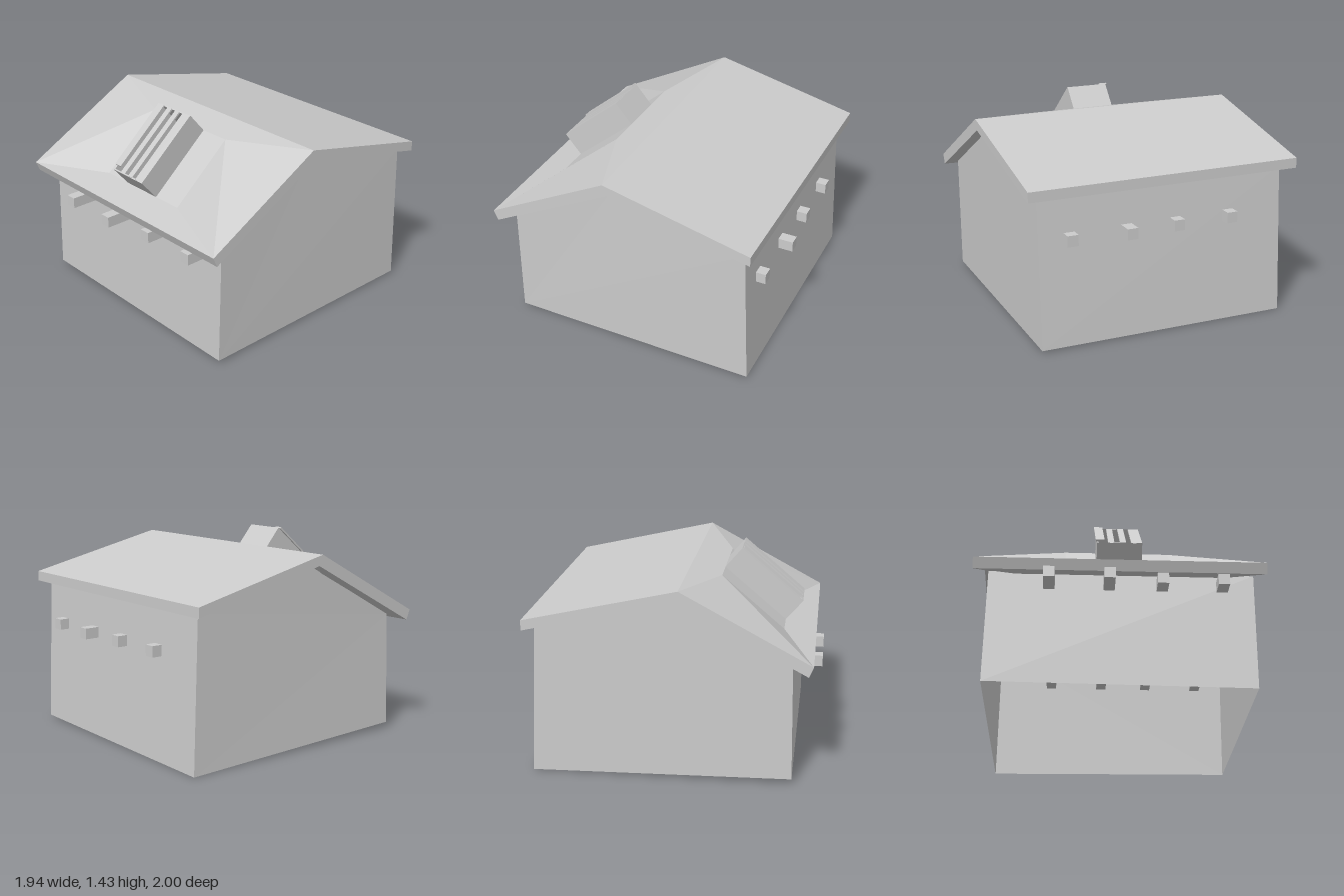
import * as THREE from 'three';

const mat = new THREE.MeshStandardMaterial({ color: 0xcccccc, flatShading: true, side: THREE.DoubleSide });

// Mesh from convex polygons, each fanned from its first corner
function faces(name, polys) {
  const pos = [];
  for (const p of polys)
    for (let i = 1; i < p.length - 1; i++) pos.push(...p[0], ...p[i], ...p[i + 1]);
  const geo = new THREE.BufferGeometry();
  geo.setAttribute('position', new THREE.Float32BufferAttribute(pos, 3));
  geo.computeVertexNormals();
  const mesh = new THREE.Mesh(geo, mat);
  mesh.name = name;
  return mesh;
}

function box(name, w, h, d, x, y, z) {
  const mesh = new THREE.Mesh(new THREE.BoxGeometry(w, h, d), mat);
  mesh.name = name;
  mesh.position.set(x, y, z);
  return mesh;
}

// Slightly crooked wall shell, open underneath, with gables under the roof
function walls() {
  const side = (x, bottomX, yFront, yBack) => [
    [bottomX, yFront, 0.83], [bottomX, yBack, -0.93],
    [x, 1.04, -0.885], [x, 1.255, 0.05], [x, 0.84, 0.815],
  ];
  const l = side(0.895, 0.887, 0.02, 0.015);
  const r = side(-0.875, -0.887, 0.04, 0);
  return faces('walls', [
    l, [...r].reverse(),
    [r[0], l[0], l[4], r[4]],
    [l[1], r[1], r[2], l[2]],
  ]);
}

// Roof slab: the front slope carries a steeper sunken panel with the dormer opening
const W = 0.97, P = 0.37, H0 = -0.155, H1 = 0.15;
function roof() {
  // profile points [y, z]: front eave, panel foot, panel head, ridge, back eave
  const top = [[0.87, 0.95], [0.92, 0.73], [1.285, 0.30], [1.335, 0.08], [1.10, -0.95]];
  const under = [[0.80, 0.92], [0.85, 0.69], [1.215, 0.26], [1.262, 0.05], [1.03, -0.95]];
  const skin = ([E, L, U, R, B]) => {
    const v = (x, p) => [x, ...p];
    return [
      [v(-W, R), v(W, R), v(W, B), v(-W, B)],
      [v(-P, U), v(P, U), v(W, R), v(-W, R)],
      [v(-W, E), v(W, E), v(P, L), v(-P, L)],
      [v(W, E), v(W, R), v(P, U), v(P, L)],
      [v(-W, E), v(-P, L), v(-P, U), v(-W, R)],
      [v(-P, L), v(H0, L), v(H0, U), v(-P, U)],
      [v(H1, L), v(P, L), v(P, U), v(H1, U)],
    ];
  };
  const polys = [...skin(top), ...skin(under).map(p => p.reverse())];
  // eave edges
  const a = (x, i) => [x, ...top[i]], b = (x, i) => [x, ...under[i]];
  polys.push([b(-W, 0), b(W, 0), a(W, 0), a(-W, 0)]);
  polys.push([b(W, 4), b(-W, 4), a(-W, 4), a(W, 4)]);
  // gable edges
  for (const [i, j] of [[0, 3], [3, 4]]) {
    polys.push([b(W, i), b(W, j), a(W, j), a(W, i)]);
    polys.push([b(-W, j), b(-W, i), a(-W, i), a(-W, j)]);
  }
  return faces('roof', polys);
}

// Open shaft standing square to the panel, covered by spaced planks
function dormer() {
  const g = new THREE.Group();
  g.name = 'dormer';
  g.position.set(0, 1.1025, 0.515);
  g.rotation.x = Math.atan2(0.365, 0.43);
  const len = 0.565, h = 0.25, y = 0.055, t = 0.01;
  const mid = (H0 + H1) / 2, w = H1 - H0;
  for (const s of [-1, 1]) {
    g.add(box('dormerEndWall', w, h, t, mid, y, s * (len - t) / 2));
    g.add(box('dormerSideWall', t, h, len, mid + s * (w - t) / 2, y, 0));
  }
  for (const [x0, x1] of [[-0.08, -0.038], [0, 0.042], [0.076, 0.15]])
    g.add(box('plank', x1 - x0, 0.012, len - 0.006, (x0 + x1) / 2, 0.176, 0));
  const loose = box('loosePlank', 0.06, 0.012, 0.52, -0.136, 0.187, -0.015);
  loose.rotation.y = 0.01;
  g.add(loose);
  return g;
}

export function createModel() {
  const model = new THREE.Group();
  model.name = 'house';
  model.add(walls(), roof(), dormer());
  // Floor beams running through the house: x, front end, back end
  for (const [x, z0, z1] of [[-0.47, 1, -0.97], [-0.073, 1, -0.97], [0.28, 0.94, -1], [0.68, 0.94, -0.965]])
    model.add(box('beam', 0.075, 0.075, z0 - z1, x, 0.748, (z0 + z1) / 2));
  return model;
}
